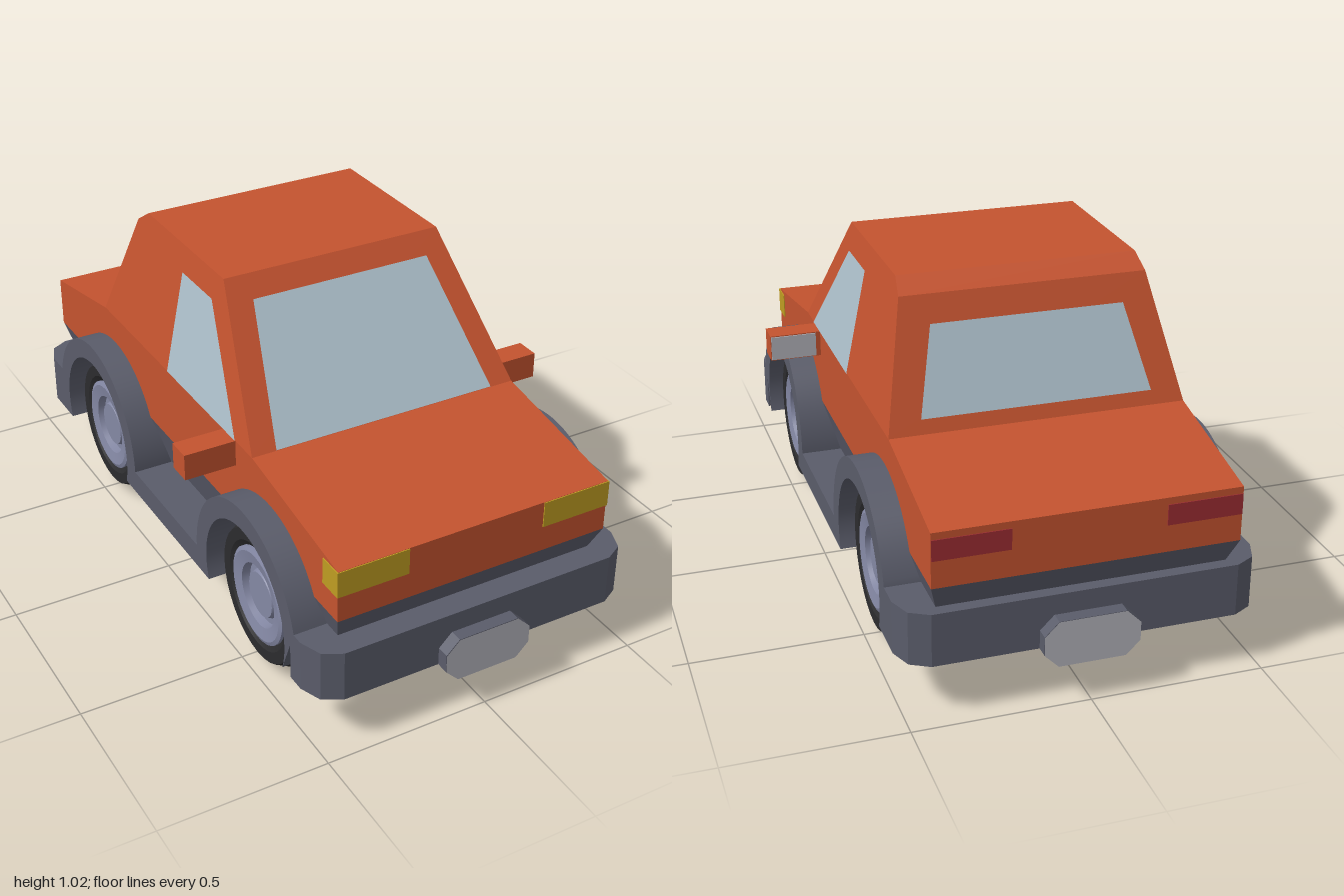
import * as THREE from 'three';
import { toCreasedNormals } from 'three/addons/utils/BufferGeometryUtils.js';

const paint = (color, side = THREE.FrontSide) => new THREE.MeshStandardMaterial({ color, side });
const RED = paint(0xc4532f), TRIM = paint(0x5a5c6a), TYRE = paint(0x2c2c2e), RIM = paint(0x8488a4);
const GLASS = paint(0xadc0cb, THREE.DoubleSide), LAMP = paint(0xbf9c22), TAIL = paint(0x9c2c32), PLATE = paint(0xb4b4bc);

const WHEEL_Y = 0.235, FRONT_Z = 0.54, REAR_Z = -0.5;

export function createModel() {
  const car = new THREE.Group();
  car.name = 'car';

  const add = (name, geometry, material, parent = car) => {
    const mesh = new THREE.Mesh(geometry, material);
    mesh.name = name;
    parent.add(mesh);
    return mesh;
  };
  const toShape = (points) => new THREE.Shape(points.map(([a, b]) => new THREE.Vector2(a, b)));

  // Side profile in (z, y), extruded across x from x0 to x1
  const acrossX = (shape, x0, x1) => new THREE.ExtrudeGeometry(shape, { depth: x1 - x0, bevelEnabled: false, curveSegments: 24 })
    .rotateY(-Math.PI / 2).translate(x1, 0, 0);

  const box = (name, x0, x1, y0, y1, z0, z1, material, parent) => add(name,
    new THREE.BoxGeometry(x1 - x0, y1 - y0, z1 - z0)
      .translate((x0 + x1) / 2, (y0 + y1) / 2, (z0 + z1) / 2), material, parent);

  const pane = (name, corners) => {
    const g = new THREE.BufferGeometry();
    g.setAttribute('position', new THREE.Float32BufferAttribute(corners.flat(), 3));
    g.setIndex([0, 1, 2, 0, 2, 3]);
    g.computeVertexNormals();
    return add(name, g, GLASS);
  };

  // Painted lower body with bonnet and boot
  add('body', acrossX(toShape([[0.92, 0.39], [0.92, 0.55], [0.45, 0.63], [-0.56, 0.63], [-0.96, 0.55], [-0.96, 0.39]]), -0.43, 0.43), RED);

  // Cabin, narrowing towards the roof
  const cabinX = (y) => 0.43 - 0.08 * (y - 0.63) / 0.39;
  const cabin = acrossX(toShape([[0.45, 0.63], [0.14, 1.02], [-0.36, 1.02], [-0.42, 0.98], [-0.56, 0.63]]), -0.43, 0.43);
  const cp = cabin.attributes.position;
  for (let i = 0; i < cp.count; i++) cp.setX(i, Math.sign(cp.getX(i)) * cabinX(cp.getY(i)));
  cabin.computeVertexNormals();
  add('cabin', cabin, RED);

  // Dark underbody, tapering inwards below the paint line
  const under = new THREE.BoxGeometry(0.86, 0.15, 1.88).translate(0, 0.315, -0.02);
  const up = under.attributes.position;
  for (let i = 0; i < up.count; i++) {
    if (up.getY(i) > 0.3) continue;
    up.setX(i, up.getX(i) * 0.9);
    up.setZ(i, up.getZ(i) * 0.925);
  }
  under.computeVertexNormals();
  add('underbody', under, TRIM);
  box('floor', -0.21, 0.21, 0.16, 0.3, -0.79, 0.83, TRIM);

  // Side skirts with raised wheel arches and round wheel openings
  const skirt = new THREE.Shape();
  const rim = 0.3, gap = 0.237, low = 0.16;
  const aEnd = Math.asin((0.315 - WHEEL_Y) / rim), aGap = Math.asin((low - WHEEL_Y) / gap);
  const gapZ = gap * Math.cos(aGap);
  skirt.moveTo(FRONT_Z + 0.289, low);
  skirt.absarc(FRONT_Z, WHEEL_Y, rim, aEnd, Math.PI, false);
  skirt.absarc(REAR_Z, WHEEL_Y, rim, 0, Math.PI - aEnd, false);
  skirt.lineTo(REAR_Z - 0.289, low);
  for (const z of [REAR_Z, FRONT_Z]) {
    skirt.lineTo(z - gapZ, low);
    skirt.absarc(z, WHEEL_Y, gap, Math.PI - aGap, aGap, true);
  }
  skirt.closePath();
  for (const [name, x0, x1] of [['leftSkirt', 0.2, 0.51], ['rightSkirt', -0.51, -0.2]]) {
    add(name, toCreasedNormals(acrossX(skirt, x0, x1), 0.5), TRIM);
  }

  // Bumpers with cut corners, and an eight-sided plate on each
  const octagon = (w, h, c) => toShape([[-w, -h + c], [-w + c, -h], [w - c, -h], [w, -h + c], [w, h - c], [w - c, h], [-w + c, h], [-w, h - c]]);
  for (const [end, turn] of [['front', 0], ['rear', Math.PI]]) {
    const group = new THREE.Group();
    group.name = end + 'BumperGroup';
    group.rotation.y = turn;
    car.add(group);
    const inner = turn ? 0.77 : 0.81;
    const plan = toShape([[-0.51, -inner], [-0.51, -0.865], [-0.485, -0.93], [-0.43, -0.96],
      [0.43, -0.96], [0.485, -0.93], [0.51, -0.865], [0.51, -inner]]);
    add(end + 'Bumper', new THREE.ExtrudeGeometry(plan, { depth: 0.155, bevelEnabled: false })
      .rotateX(-Math.PI / 2).translate(0, 0.16, 0), TRIM, group);
    add(end + 'PlateMount', new THREE.ExtrudeGeometry(octagon(0.135, 0.0675, 0.04), { depth: 0.048, bevelEnabled: false })
      .translate(0, 0.1875, 0.95), TRIM, group);
    add(end + 'Plate', new THREE.ShapeGeometry(octagon(0.135, 0.0675, 0.04)).translate(0, 0.1875, 1), PLATE, group);
  }

  // Front and rear windows, just proud of the cabin
  const e = 0.004;
  pane('windshield', [[-0.355, 0.633, 0.452], [0.355, 0.633, 0.452], [0.285, 0.96 + e, 0.188 + e], [-0.285, 0.96 + e, 0.188 + e]]);
  pane('rearWindow', [[0.335, 0.67, -0.544 - e], [-0.335, 0.67, -0.544 - e], [-0.28, 0.905, -0.45 - e], [0.28, 0.905, -0.45 - e]]);

  // Parts found on both sides
  for (const [side, s] of [['left', 1], ['right', -1]]) {
    const span = (a, b) => (s > 0 ? [a, b] : [-b, -a]);
    pane(side + 'Window', [[0.353, 0.633], [-0.09, 0.633], [-0.09, 0.945], [0.1, 0.945]]
      .map(([z, y]) => [s * (cabinX(y) + e), y, z]));
    box(side + 'Mirror', ...span(0.4, 0.587), 0.55, 0.63, 0.275, 0.35, RED);
    box(side + 'MirrorGlass', ...span(0.445, 0.585), 0.553, 0.627, 0.271, 0.28, PLATE);
    box(side + 'Headlight', ...span(0.215, 0.433), 0.47, 0.549, 0.845, 0.923, LAMP);
    box(side + 'TailLight', ...span(0.215, 0.429), 0.47, 0.53, -0.963, -0.94, TAIL);
  }

  // Wheels: lathe profiles of (radius, distance from the car's centre line)
  const lathe = (points) => toCreasedNormals(
    new THREE.LatheGeometry(points.map(([r, x]) => new THREE.Vector2(r, x)), 32), 0.45).rotateZ(-Math.PI / 2);
  const tyre = lathe([[0, 0.2], [0.2, 0.2], [0.235, 0.275], [0.235, 0.395], [0.2, 0.47], [0.165, 0.47], [0.143, 0.455]]);
  const hub = lathe([[0.147, 0.44], [0.147, 0.468], [0.135, 0.473], [0.097, 0.466], [0.093, 0.442], [0.074, 0.442], [0.068, 0.458], [0, 0.458]]);
  for (const [end, z] of [['front', FRONT_Z], ['rear', REAR_Z]]) {
    for (const [side, turn] of [['Left', 0], ['Right', Math.PI]]) {
      const wheel = new THREE.Group();
      wheel.name = end + side + 'Wheel';
      wheel.position.set(0, WHEEL_Y, z);
      wheel.rotation.y = turn;
      add('tyre', tyre, TYRE, wheel);
      add('hub', hub, RIM, wheel);
      car.add(wheel);
    }
  }

  return car;
}
